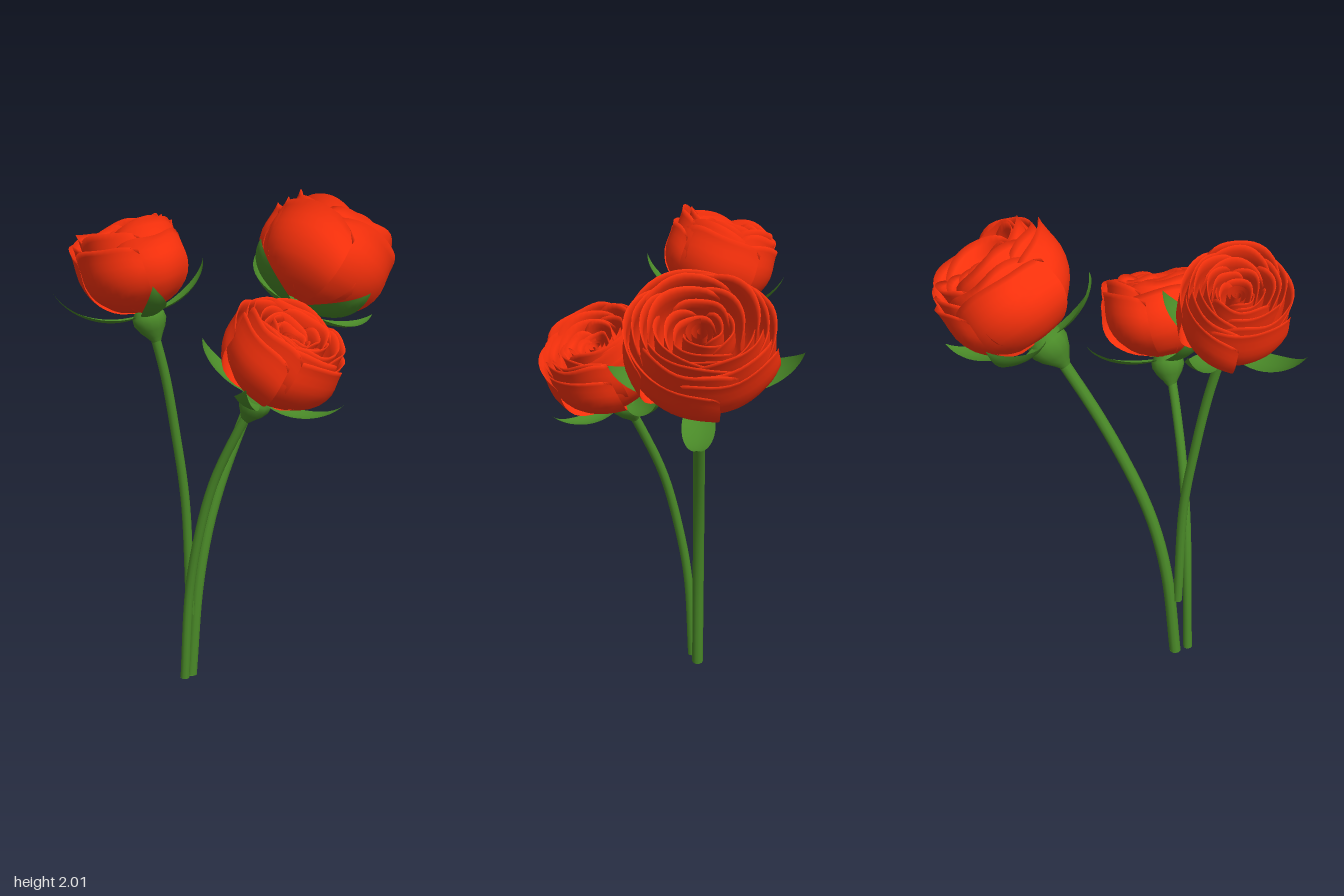
import * as THREE from 'three';

const V = (p) => new THREE.Vector3(...p);
const petalMat = new THREE.MeshStandardMaterial({ color: 0xff320c, side: THREE.DoubleSide });
const greenMat = new THREE.MeshStandardMaterial({ color: 0x4a8a28, side: THREE.DoubleSide });

// Each flower: head base, head axis, head radius, depth ratio and height, stem path, sepal tips
const FLOWERS = [
  {
    name: 'leftRose', base: [-0.405, 1.61, -0.14], axis: [-0.17, 0.93, -0.28],
    radius: 0.21, depth: 1.12, height: 0.355, calyx: 1, stemRadius: 0.019, spin: 0.4,
    stem: [[-0.245, 0.29, -0.12], [-0.26, 0.8, -0.12], [-0.30, 1.1, -0.12], [-0.345, 1.36, -0.12], [-0.39, 1.55, -0.128]],
    tips: [[-0.73, 1.71, -0.29], [-0.53, 1.79, 0.10], [-0.16, 1.80, -0.12], [-0.33, 1.75, -0.46]],
  },
  {
    name: 'middleRose', base: [-0.115, 1.30, 0.18], axis: [0.27, 0.87, 0.37],
    radius: 0.235, depth: 1.08, height: 0.35, calyx: 1, stemRadius: 0.019, spin: 1.9,
    stem: [[-0.29, 0.01, -0.10], [-0.275, 0.4, -0.08], [-0.257, 0.65, -0.04], [-0.22, 0.92, 0.025], [-0.165, 1.15, 0.115], [-0.135, 1.25, 0.16]],
    tips: [[-0.32, 1.43, 0.39], [0.09, 1.31, 0.46], [0.18, 1.40, 0.04], [-0.24, 1.52, -0.01]],
  },
  {
    name: 'rightRose', base: [0.30, 1.525, -0.13], axis: [0.6, 0.8, 0],
    radius: 0.272, depth: 1.1, height: 0.42, calyx: 1.25, stemRadius: 0.024, spin: 3.1,
    stem: [[-0.24, 0, -0.125], [-0.20, 0.4, -0.125], [-0.15, 0.64, -0.125], [-0.09, 0.82, -0.125], [0, 1.02, -0.125], [0.10, 1.21, -0.125], [0.25, 1.46, -0.128]],
    tips: [[0.42, 1.64, 0.21], [0.40, 1.69, -0.51], [0.12, 1.84, -0.12], [0.71, 1.43, -0.12]],
  },
];

function seeded(seed) {
  return () => {
    seed = (seed * 16807) % 2147483647;
    return seed / 2147483647;
  };
}

// Grid surface from a rule (u, v) -> Vector3
function surface(nu, nv, rule) {
  const pos = [], index = [];
  for (let j = 0; j <= nv; j++)
    for (let i = 0; i <= nu; i++) pos.push(...rule(i / nu, j / nv).toArray());
  for (let j = 0; j < nv; j++)
    for (let i = 0; i < nu; i++) {
      const a = j * (nu + 1) + i, b = a + 1, c = a + nu + 1, d = c + 1;
      index.push(a, c, b, b, c, d);
    }
  const g = new THREE.BufferGeometry();
  g.setAttribute('position', new THREE.Float32BufferAttribute(pos, 3));
  g.setIndex(index);
  g.computeVertexNormals();
  return g;
}

function add(parent, name, geometry, material) {
  const mesh = new THREE.Mesh(geometry, material);
  mesh.name = name;
  parent.add(mesh);
  return mesh;
}

// Cup profile of the head: radius fraction against height fraction
const cup = new THREE.SplineCurve(
  [[0.1, 0.04], [0.5, 0.13], [0.74, 0.25], [0.91, 0.41], [0.99, 0.62], [0.97, 0.82], [0.92, 1]]
    .map(([x, y]) => new THREE.Vector2(x, y)));

// Petal rings from the outside in: count, radius, rim height, lip width
const RINGS = [
  [5, 1.0, 0.90, 0.07], [5, 0.92, 0.98, 0.05], [5, 0.79, 1.0, 0.06], [4, 0.64, 0.98, 0.05],
  [4, 0.49, 0.93, 0.04], [3, 0.35, 0.87, 0.03],
];

// One petal: a wrapped shell, outer face up to a rolled lip and inner face back down;
// its far edge tucks under its neighbour
function petal(f, ring, angle, span, rand) {
  const [, size, rim, lip] = RINGS[ring];
  const wave = rand() * 6, lift = (rand() - 0.5) * 0.09, lean = (rand() - 0.5) * 0.07;
  const tuck = 0.12, bottom = 0.06 * ring, thickness = 0.03;
  return surface(14, 24, (u, v) => {
    const t = 1 - Math.abs(2 * v - 1);
    const p = cup.getPoint(t);
    const edge = Math.abs(2 * u - 1);
    const top = rim + lift - 0.14 * edge ** 4 + 0.02 * Math.sin(u * 9 + wave);
    const roll = Math.max(0, (t - 0.75) / 0.25) ** 2 * lip * (1 - 0.4 * edge);
    const inset = v > 0.5 ? thickness * (1 - edge ** 6) : 0;
    const r = Math.max(0.03, size * p.x - tuck * u * Math.min(1, t * 3) + lean * t * t + roll - inset) * f.radius;
    const a = angle + (u - 0.5) * span;
    const y = bottom + (top - bottom) * p.y - 0.3 * roll;
    return new THREE.Vector3(r * Math.cos(a), y * f.height, r * f.depth * Math.sin(a));
  });
}

function buildBloom(f, seed) {
  const bloom = new THREE.Group();
  bloom.name = 'bloom';
  const rand = seeded(seed);
  RINGS.forEach(([count], ring) => {
    const step = Math.PI * 2 / count;
    for (let i = 0; i < count; i++) {
      const angle = f.spin + ring * 2.4 + i * step + (rand() - 0.5) * 0.35;
      add(bloom, 'petal', petal(f, ring, angle, step * 1.45, rand), petalMat);
    }
  });
  // Rolled bud in the middle
  add(bloom, 'bud', surface(48, 4, (u, v) => {
    const a = u * Math.PI * 5, r = f.radius * (0.03 + 0.19 * u) * (0.75 + 0.25 * v);
    return new THREE.Vector3(r * Math.cos(a), f.height * (0.3 + 0.52 * v), r * Math.sin(a));
  }), petalMat);
  return bloom;
}

// Pointed leaf that leaves the calyx sideways and curls up to its tip
function sepal(f, tip) {
  const base = V(f.base), axis = V(f.axis).normalize();
  const reach = V(tip).sub(base);
  const along = reach.dot(axis);
  const radial = reach.clone().addScaledVector(axis, -along);
  const out = radial.clone().normalize();
  const side = axis.clone().cross(out);
  const start = base.clone().addScaledVector(out, 0.03);
  const c1 = base.clone().addScaledVector(radial, 0.5).addScaledVector(axis, -0.015);
  const c2 = base.clone().addScaledVector(radial, 0.92).addScaledVector(axis, along * 0.4);
  const curve = new THREE.CubicBezierCurve3(start, c1, c2, V(tip));
  const half = 0.046 * f.calyx;
  return surface(4, 14, (u, v) => {
    const w = half * (0.35 * (1 - v) + Math.sin(Math.PI * v ** 0.85)) * (1 - 0.25 * v);
    const k = 2 * u - 1;
    return curve.getPoint(v).addScaledVector(side, k * w)
      .addScaledVector(axis, 0.25 * w * k * k);
  });
}

function buildFlower(f, i) {
  const flower = new THREE.Group();
  flower.name = f.name;

  // Stem with a flat cut end
  const path = new THREE.CatmullRomCurve3(f.stem.map(V));
  add(flower, 'stem', new THREE.TubeGeometry(path, 24, f.stemRadius, 10), greenMat);
  const cut = add(flower, 'stemEnd', new THREE.CircleGeometry(f.stemRadius, 10), greenMat);
  cut.position.copy(path.getPoint(0));
  cut.rotation.x = Math.PI / 2;

  // Bloom and the swollen calyx below it share the head axis
  const head = new THREE.Group();
  head.name = 'head';
  head.position.set(...f.base);
  head.quaternion.setFromUnitVectors(new THREE.Vector3(0, 1, 0), V(f.axis).normalize());
  head.add(buildBloom(f, 1234 + i * 777));
  const profile = [[0.018, -0.11], [0.03, -0.09], [0.052, -0.06], [0.066, -0.03], [0.064, -0.005], [0.05, 0.015], [0.042, 0.03], [0, 0.045]]
    .map(([x, y]) => new THREE.Vector2(x * f.calyx, y * f.calyx));
  add(head, 'calyx', new THREE.LatheGeometry(profile, 14), greenMat);
  flower.add(head);

  f.tips.forEach((tip) => add(flower, 'sepal', sepal(f, tip), greenMat));
  return flower;
}

export function createModel() {
  const model = new THREE.Group();
  model.name = 'roses';
  FLOWERS.forEach((f, i) => model.add(buildFlower(f, i)));
  return model;
}
